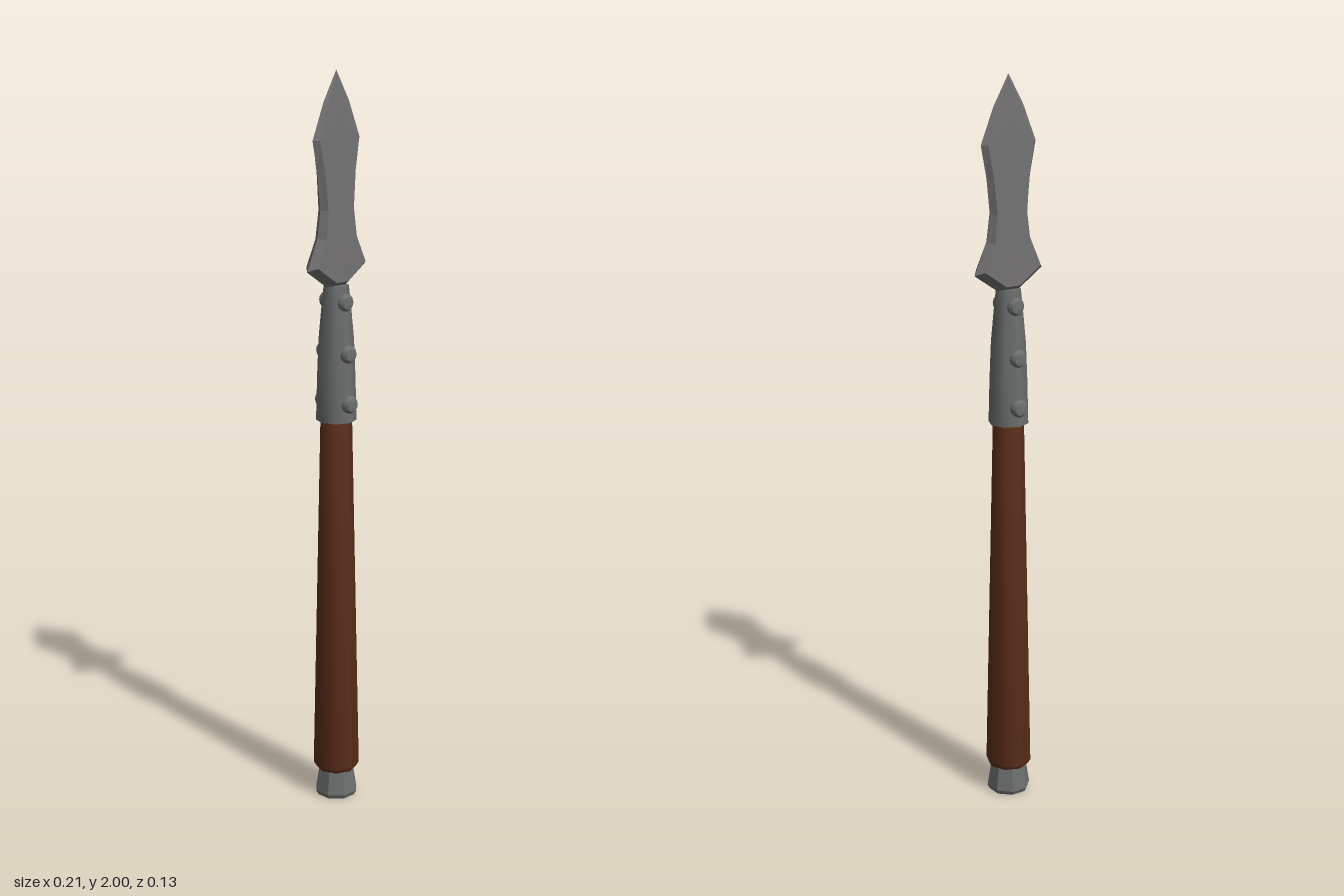
import * as THREE from 'three';
import { toCreasedNormals } from 'three/addons/utils/BufferGeometryUtils.js';

const steel = new THREE.MeshStandardMaterial({ color: 0x737171 });
steel.name = 'blade steel';
const iron = new THREE.MeshStandardMaterial({ color: 0x6c6e6e });
iron.name = 'fitting iron';
const wood = new THREE.MeshStandardMaterial({ color: 0x5f301c });
wood.name = 'shaft wood';

function part(name, geometry, material) {
  const mesh = new THREE.Mesh(geometry, material);
  mesh.name = name;
  return mesh;
}

// Turned part from [radius, y] pairs listed bottom to top
function turned(profile, sides, crease, phase = 0) {
  const points = profile.map(([r, y]) => new THREE.Vector2(r, y));
  return toCreasedNormals(new THREE.LatheGeometry(points, sides, phase), crease);
}

// Bevelled blade: sharp outline, raised inner outline and a faint centre ridge,
// made for one quarter and mirrored left-right and front-back
function bladeGeometry() {
  const edge = [
    [0, 2, 0], [0.046, 1.92, 0], [0.085, 1.825, 0], [0.068, 1.74, 0], [0.058, 1.645, 0],
    [0.068, 1.575, 0], [0.106, 1.49, 0], [0.025, 1.435, 0], [0, 1.435, 0],
  ];
  const face = [
    [0, 1.985, 0.003], [0.037, 1.915, 0.008], [0.071, 1.825, 0.013], [0.055, 1.74, 0.016],
    [0.046, 1.645, 0.019], [0.055, 1.57, 0.021], [0.087, 1.5, 0.022], [0.022, 1.455, 0.024],
    [0, 1.455, 0.025],
  ];
  const ridge = face.map(([, y, z]) => [0, y, z + 0.002]);
  const positions = [];
  for (const sx of [1, -1]) {
    for (const sz of [1, -1]) {
      const triangle = (a, b, c) => {
        const corners = sx * sz > 0 ? [a, b, c] : [a, c, b];
        for (const [x, y, z] of corners) positions.push(x * sx, y, z * sz);
      };
      for (const [inner, outer] of [[face, edge], [ridge, face]]) {
        for (let i = 0; i < edge.length - 1; i++) {
          triangle(inner[i], inner[i + 1], outer[i + 1]);
          triangle(inner[i], outer[i + 1], outer[i]);
        }
      }
    }
  }
  const geometry = new THREE.BufferGeometry();
  geometry.setAttribute('position', new THREE.Float32BufferAttribute(positions, 3));
  geometry.computeVertexNormals();
  return geometry;
}

export function createModel() {
  const spear = new THREE.Group();
  spear.name = 'spear';

  // Octagonal butt cap with a small bevel at the foot
  spear.add(part('buttCap', turned(
    [[0, 0], [0.054, 0], [0.06, 0.012], [0.048, 0.09]], 8, 0.2, Math.PI / 8), iron));

  // Tapered shaft with a softened lower rim
  spear.add(part('shaft', turned(
    [[0, 0.078], [0.055, 0.078], [0.063, 0.09], [0.042, 1.1]], 8, 0.9), wood));

  // Socket narrowing towards the blade
  spear.add(part('socket', turned(
    [[0, 1.08], [0.054, 1.08], [0.051, 1.2], [0.047, 1.3], [0.038, 1.4], [0.033, 1.445], [0, 1.445]],
    8, 0.9), iron));

  spear.add(part('blade', bladeGeometry(), steel));

  // Domed rivets on the front and back of the socket
  const rivet = turned(
    [[0.024, 0], [0.024, 0.028], [0.018, 0.036], [0, 0.04]], 12, 0.7);
  rivet.rotateX(Math.PI / 2);
  for (const [y, reach] of [[1.13, 0.067], [1.265, 0.062], [1.402, 0.05]]) {
    for (const side of [1, -1]) {
      const mesh = part(side > 0 ? 'frontRivet' : 'backRivet', rivet, iron);
      mesh.position.set(0, y, side * (reach - 0.04));
      if (side < 0) mesh.rotation.y = Math.PI;
      spear.add(mesh);
    }
  }
  return spear;
}
